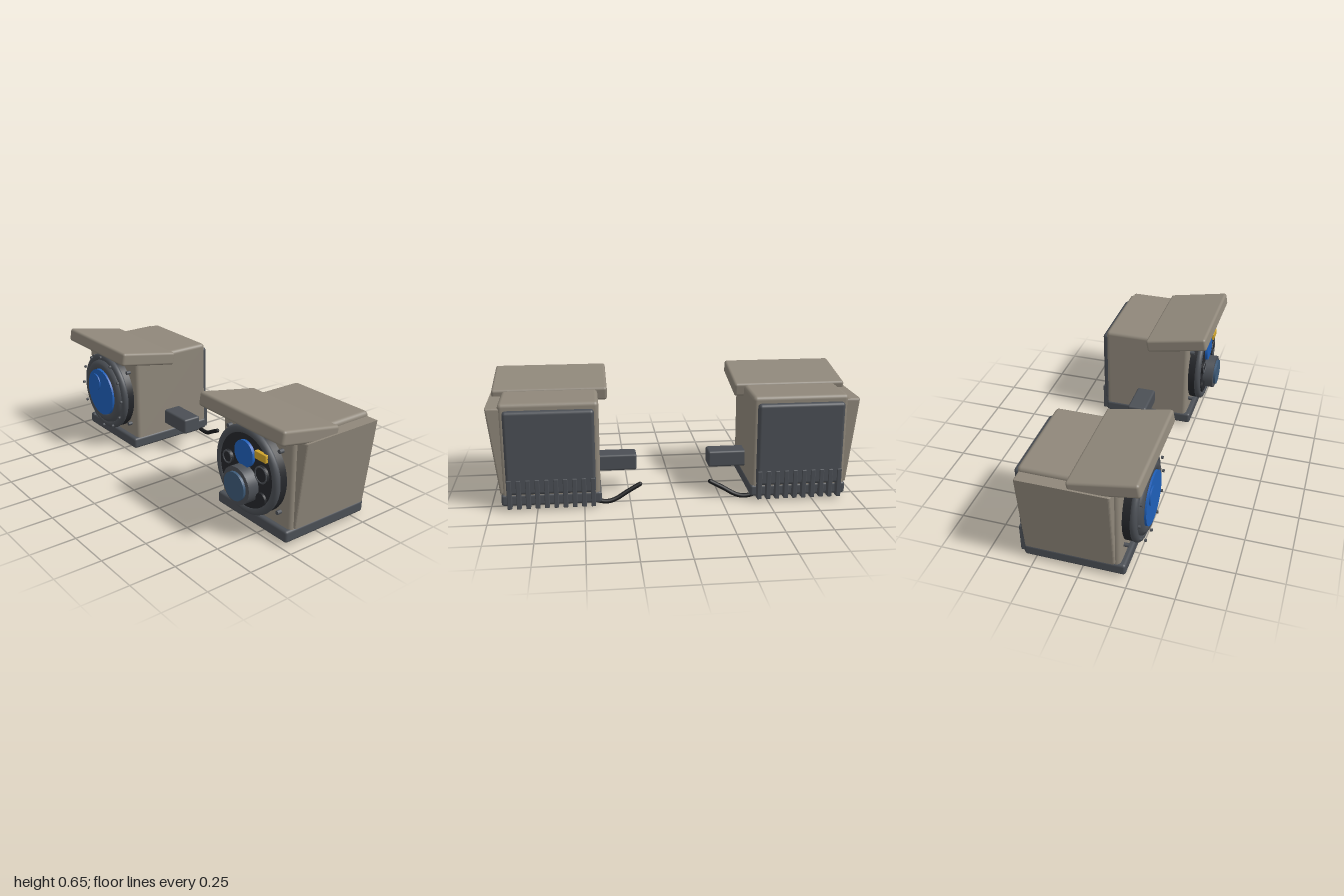
import * as THREE from 'three';
import { RoundedBoxGeometry } from 'three/addons/geometries/RoundedBoxGeometry.js';

const mat = (color) => new THREE.MeshStandardMaterial({ color });
const M = {
  shell: mat(0x8f877a), grey: mat(0x4b4f55), black: mat(0x25272b), cable: mat(0x1b1c1e),
  blue: mat(0x1f5fb8), glass: mat(0x3d5a78), gold: mat(0xd0a52c),
};
const CY = 0.325; // height of the optical axis
const CX = 0.674; // distance of each housing from the centre plane

function add(parent, name, geometry, material, x = 0, y = 0, z = 0) {
  const mesh = new THREE.Mesh(geometry, material);
  mesh.name = name;
  mesh.position.set(x, y, z);
  parent.add(mesh);
  return mesh;
}

// Rounded box given by its limits
function box(parent, name, material, [x0, x1], [y0, y1], [z0, z1], r) {
  return add(parent, name, new RoundedBoxGeometry(Math.abs(x1 - x0), y1 - y0, z1 - z0, 3, r), material,
    (x0 + x1) / 2, (y0 + y1) / 2, (z0 + z1) / 2);
}

// Disc or cylinder facing +z, from z0 to z1
function disc(parent, name, material, r, x, y, z0, z1, sides = 48) {
  const g = new THREE.CylinderGeometry(r, r, z1 - z0, sides).rotateX(Math.PI / 2);
  return add(parent, name, g, material, x, y, (z0 + z1) / 2);
}

function ring(parent, name, material, r, tube, x, y, z) {
  return add(parent, name, new THREE.TorusGeometry(r, tube, 12, 56), material, x, y, z);
}

// s is the side of the centre plane: +1 or -1; x is local, outward = s
function housing(s) {
  const g = new THREE.Group();
  g.position.x = s * CX;

  box(g, 'body', M.shell, [-0.262, 0.262], [0.06, 0.585], [-0.305, 0.203], 0.022);
  box(g, 'base', M.grey, [-0.267, 0.267], [0.02, 0.085], [-0.308, 0.23], 0.014);

  // Tapered outer cheek
  const b = 0.01;
  const cheek = new THREE.Shape([
    [0.24, 0.085 + b], [0.272 - b, 0.085 + b], [0.326 - b, 0.56 - b], [0.24, 0.56 - b],
  ].map(([x, y]) => new THREE.Vector2(x, y)));
  const cheekGeo = new THREE.ExtrudeGeometry(cheek, {
    depth: 0.478 - 2 * b, bevelSize: b, bevelThickness: b, bevelSegments: 3,
  }).translate(0, 0, -0.3 + b);
  if (s < 0) cheekGeo.rotateY(Math.PI).translate(0, 0, -0.122);
  add(g, 'sideCheek', cheekGeo, M.shell);

  // Tilted sun hood
  const hood = add(g, 'hood', new RoundedBoxGeometry(0.631, 0.076, 0.362, 3, 0.015), M.shell, 0, 0.588, 0.14);
  hood.rotation.x = -0.178;

  // Back cover with cooling fins
  box(g, 'backCover', M.grey, [-0.237, 0.237], [0.09, 0.548], [-0.335, -0.285], 0.018);
  for (let i = 0; i < 10; i++) {
    const x = -0.222 + i * 0.0493;
    box(g, 'coolingFin', M.grey, [x - 0.0125, x + 0.0125], [0.014, 0.175], [-0.341, -0.185], 0.004);
  }

  // Inner connector and cable
  box(g, 'connector', M.grey, [-s * 0.471, -s * 0.24], [0.128, 0.22], [-0.107, 0.005], 0.012);
  const path = new THREE.CatmullRomCurve3([
    [0.48, 0.04, -0.265], [0.42, 0.019, -0.27], [0.375, 0.013, -0.271],
    [0.33, 0.023, -0.264], [0.26, 0.06, -0.248], [0.195, 0.092, -0.235],
  ].map(([x, y, z]) => new THREE.Vector3(s * (x - CX), y, z)));
  add(g, 'cable', new THREE.TubeGeometry(path, 32, 0.0125, 10), M.cable);
  const tip = path.getPoint(1);
  add(g, 'cableEnd', new THREE.SphereGeometry(0.0125, 10, 8), M.cable, tip.x, tip.y, tip.z);

  // Front barrel, bezel and corner screws
  disc(g, 'barrel', M.black, 0.229, 0, CY, 0.19, 0.256, 64);
  ring(g, 'bezel', M.grey, 0.212, 0.022, 0, CY, 0.255).scale.z = 0.95;
  for (const x of [-0.193, 0.193])
    for (const y of [0.16, 0.488]) disc(g, 'cornerScrew', M.grey, 0.011, x, y, 0.2, 0.228, 12);
  return g;
}

// Single large lens with a ring of bolts
function largeLens(g) {
  disc(g, 'lensSeat', M.black, 0.2, 0, CY, 0.25, 0.262);
  const pts = [[0.198, 0.255], [0.193, 0.278], [0.178, 0.283], [0.174, 0.292], [0.15, 0.292], [0.143, 0.28]];
  const collar = new THREE.LatheGeometry(pts.map(([r, z]) => new THREE.Vector2(r, z)), 56).rotateX(Math.PI / 2);
  const m = M.grey.clone();
  m.side = THREE.DoubleSide;
  add(g, 'lensCollar', collar, m, 0, CY, 0);
  disc(g, 'largeLens', M.blue, 0.143, 0, CY, 0.26, 0.3);
  disc(g, 'lensSpot', M.blue, 0.05, -0.045, CY + 0.055, 0.295, 0.307, 32);
  for (let i = 0; i < 12; i++) {
    const a = (i * Math.PI) / 6;
    disc(g, 'bezelBolt', M.grey, 0.008, 0.22 * Math.cos(a), CY + 0.22 * Math.sin(a), 0.283, 0.295, 10);
  }
}

// Cluster of several optics on a dark plate
function sensorCluster(g) {
  disc(g, 'sensorPlate', M.black, 0.2, 0, CY, 0.25, 0.268);
  disc(g, 'mainBarrel', M.grey, 0.1, 0, 0.26, 0.26, 0.329);
  disc(g, 'mainLens', M.glass, 0.076, 0, 0.26, 0.32, 0.343);
  disc(g, 'upperLens', M.blue, 0.07, 0, 0.421, 0.26, 0.284);
  box(g, 'rangeWindow', M.gold, [0.086, 0.168], [0.432, 0.473], [0.262, 0.289], 0.003);
  for (const [x, y, r] of [[-0.128, 0.355, 0.037], [0.128, 0.355, 0.047], [-0.128, 0.222, 0.033], [0.128, 0.222, 0.033]]) {
    disc(g, 'smallOptic', M.black, r, x, y, 0.26, 0.281, 32);
    if (y > 0.3) ring(g, 'smallOpticRim', M.grey, r - 0.006, 0.005, x, y, 0.28);
  }
}

export function createModel() {
  const model = new THREE.Group();
  const right = housing(-1);
  right.name = 'rightHousing';
  largeLens(right);
  const left = housing(1);
  left.name = 'leftHousing';
  sensorCluster(left);
  model.add(right, left);
  return model;
}
